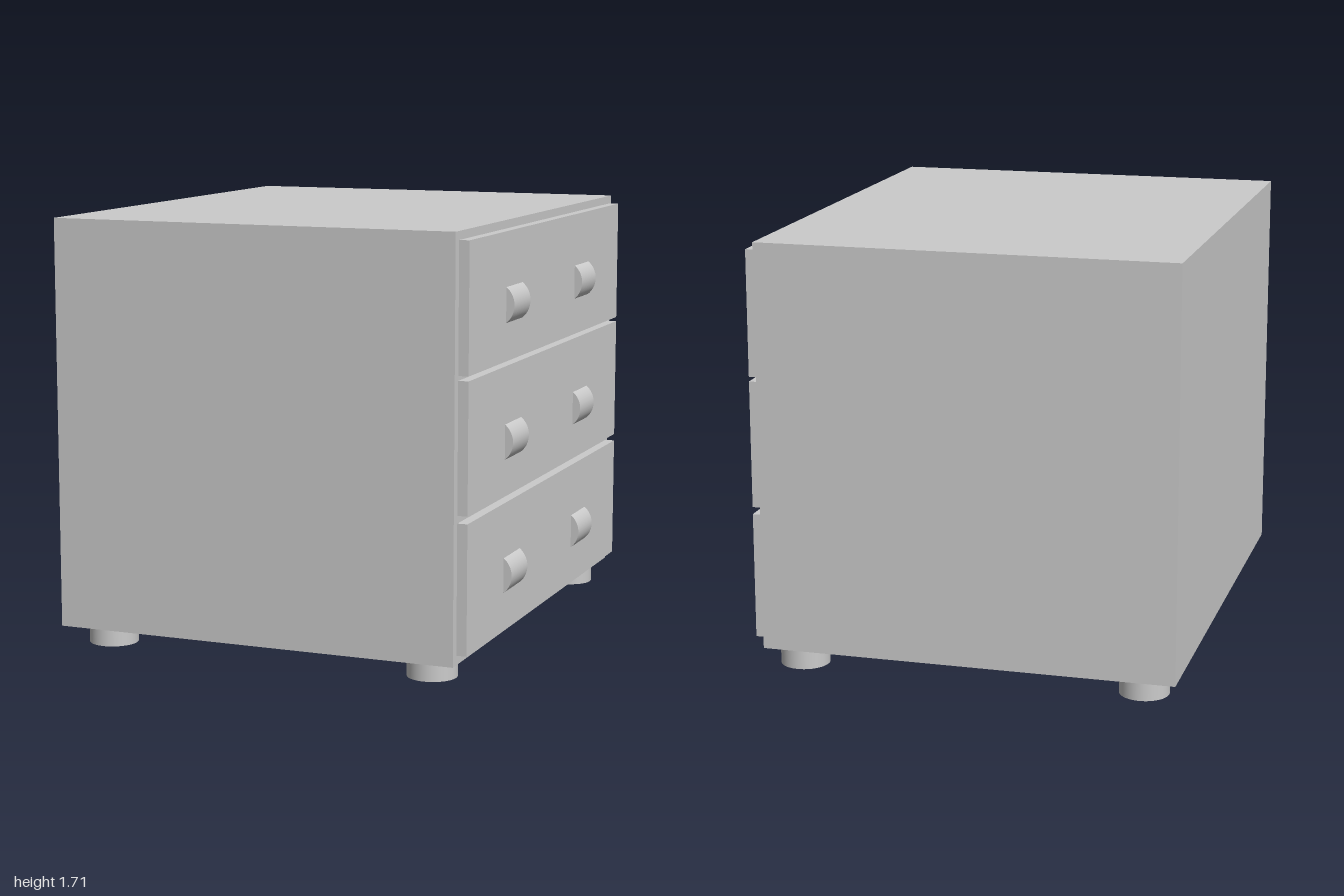
import * as THREE from 'three';

const material = new THREE.MeshStandardMaterial({ color: 0xcccccc });

export function createModel() {
  const model = new THREE.Group();
  model.name = 'drawerCabinet';

  const add = (name, geometry, x, y, z) => {
    const mesh = new THREE.Mesh(geometry, material);
    mesh.name = name;
    mesh.position.set(x, y, z);
    model.add(mesh);
  };

  // Cabinet body; the drawers open towards +x
  const back = -0.865, face = 0.79, bottom = 0.085, top = 1.71;
  add('cabinetBody', new THREE.BoxGeometry(face - back, top - bottom, 2),
    (face + back) / 2, (top + bottom) / 2, 0);

  // Pull profile: a shallow circular segment bulging towards +x, extruded along z
  const halfHeight = 0.069, bulge = 0.033, pullWidth = 0.195;
  const radius = (halfHeight ** 2 + bulge ** 2) / (2 * bulge);
  const angle = Math.asin(halfHeight / radius);
  const profile = new THREE.Shape();
  profile.absarc(bulge - radius, 0, radius, -angle, angle, false);
  profile.closePath();
  const pullGeometry = new THREE.ExtrudeGeometry(profile,
    { depth: pullWidth, bevelEnabled: false, curveSegments: 20 });
  pullGeometry.translate(0, 0, -pullWidth / 2);

  // Three drawer fronts, each with two pulls
  const front = 0.83;
  const drawers = [
    { y0: 0.122, y1: 0.626, pullY: 0.34 },
    { y0: 0.655, y1: 1.16, pullY: 0.865 },
    { y0: 1.178, y1: 1.677, pullY: 1.395 },
  ];
  for (const { y0, y1, pullY } of drawers) {
    add('drawerFront', new THREE.BoxGeometry(front - face, y1 - y0, 1.936),
      (front + face) / 2, (y0 + y1) / 2, -0.006);
    for (const z of [0.442, -0.438]) add('drawerPull', pullGeometry, front, pullY, z);
  }

  // Round feet
  const footGeometry = new THREE.CylinderGeometry(0.098, 0.098, bottom, 48);
  const feet = [[-0.718, 0.837], [0.648, 0.837], [-0.718, -0.865], [0.66, -0.876]];
  for (const [x, z] of feet) add('foot', footGeometry, x, bottom / 2, z);

  return model;
}
